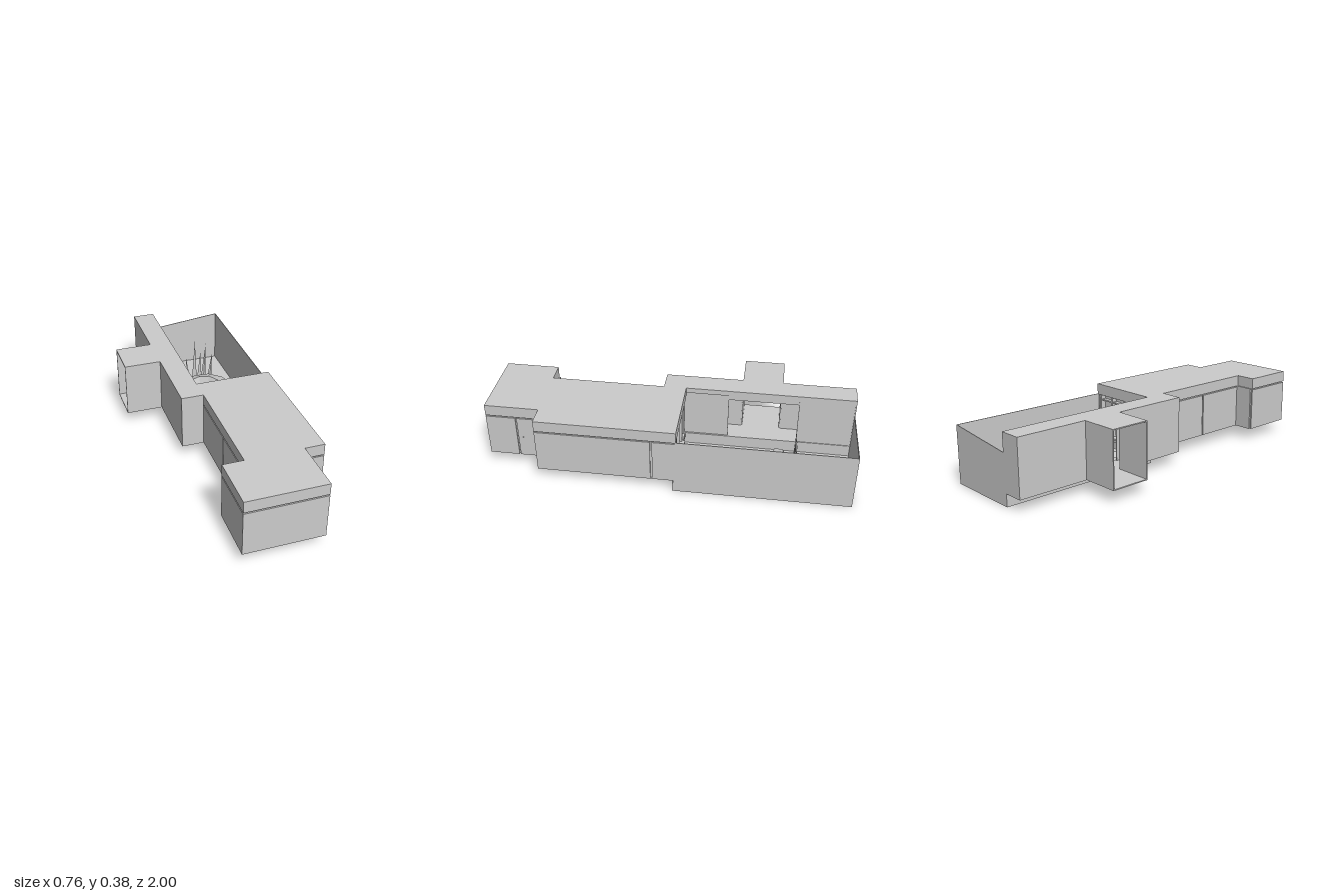
import * as THREE from 'three';

const mat = new THREE.MeshStandardMaterial({ color: 0xcccccc, flatShading: true, side: THREE.DoubleSide });

export function createModel() {
  const model = new THREE.Group();

  const add = (name, geo, parent = model) => {
    const m = new THREE.Mesh(geo, mat);
    m.name = name;
    parent.add(m);
    return m;
  };
  const group = (name) => {
    const g = new THREE.Group();
    g.name = name;
    model.add(g);
    return g;
  };
  // Box given by its limits along x, y and z
  const box = (name, x0, x1, y0, y1, z0, z1, parent) => {
    const g = new THREE.BoxGeometry(x1 - x0, y1 - y0, z1 - z0);
    g.translate((x0 + x1) / 2, (y0 + y1) / 2, (z0 + z1) / 2);
    return add(name, g, parent);
  };
  // Surface lofted through rings of points
  const loft = (name, rings, closed, parent) => {
    const n = rings[0].length, idx = [];
    for (let i = 0; i < rings.length - 1; i++)
      for (let j = 0; j < (closed ? n : n - 1); j++) {
        const a = i * n + j, b = i * n + (j + 1) % n;
        idx.push(a, b, a + n, b, b + n, a + n);
      }
    if (!closed) for (const o of [0, (rings.length - 1) * n]) idx.push(o, o + 1, o + 2, o, o + 2, o + 3);
    const g = new THREE.BufferGeometry();
    g.setAttribute('position', new THREE.Float32BufferAttribute(rings.flat(2), 3));
    g.setIndex(idx);
    const flat = g.toNonIndexed();
    flat.computeVertexNormals();
    return add(name, flat, parent);
  };

  const B = 0.07, T = 0.385, F = 0.322, P = 0.315; // underside, roof, fascia bottom, panel top

  // Roof fascias of the main and front blocks
  const main = group('mainHouse');
  box('mainRoof', -0.05, 0.38, F, T, -0.06, 0.7, main);
  box('frontRoof', -0.165, 0.27, F, T, 0.7, 1, main);

  // Recessed cores, leaving shadow gaps between the panels
  box('mainCore', -0.042, 0.372, B, F, -0.02, 0.692, main);
  box('frontCore', -0.157, 0.262, B, F, 0.69, 0.992, main);

  // Wall panels along both sides
  for (const [a, b] of [[-0.055, 0.067], [0.077, 0.7]]) box('leftWallPanel', 0.37, 0.38, B, P, a, b, main);
  for (const [a, b] of [[0.065, 0.385], [0.393, 0.7]]) box('rightWallPanel', -0.05, -0.04, B, P, a, b, main);
  for (const [a, b] of [[0.7, 0.828], [0.836, 1]]) box('frontBlockLeftPanel', 0.26, 0.27, B, P, a, b, main);
  box('frontBlockRightPanel', -0.165, -0.155, B, P, 0.7, 1, main);
  box('frontPanel', -0.165, 0.27, B, P, 0.99, 1, main);
  box('shoulderPanel', 0.275, 0.38, B, P, 0.69, 0.7, main);
  box('frontBlockBack', -0.165, -0.04, B, T, 0.7, 0.71, main);
  for (const z of [0.8, 0.72]) {
    const knob = add('doorKnob', new THREE.SphereGeometry(0.004, 6, 4), main);
    knob.position.set(0.272, 0.193, z);
  }

  // Glazed facade onto the courtyard
  const facade = group('courtyardFacade');
  for (const x of [-0.05, 0.03, 0.15, 0.26, 0.358]) box('facadePost', x, x + 0.012, B, F, -0.05, -0.02, facade);
  box('facadePanel', -0.04, 0.03, B, F, -0.04, -0.02, facade);
  box('facadeTransom', -0.05, 0.37, 0.285, 0.293, -0.045, -0.02, facade);
  box('facadeSill', 0.03, 0.32, B, B + 0.01, -0.066, -0.02, facade);

  // Side wing: a hollow corridor open to the courtyard and the bay
  const wing = group('sideWing');
  const t = 0.006;
  box('wingRoof', -0.175, -0.05, 0.355, T, -1, 0.065, wing);
  box('wingFloor', -0.175, -0.05, B, B + t, -1, 0.065, wing);
  for (const [a, b] of [[-1, -0.595], [-0.37, 0.065]]) box('wingOuterWall', -0.175, -0.175 + t, B, T, a, b, wing);
  box('wingBackWall', -0.175, -0.05, B, T, -1, -1 + t, wing);
  box('wingFrontWall', -0.175, -0.05, B, T, 0.065 - t, 0.065, wing);
  box('wingInnerPanel', -0.06, -0.054, B, 0.355, -1, -0.69, wing);
  box('wingInnerPanel', -0.066, -0.06, B, 0.355, -0.3, -0.05, wing);
  box('wingHeader', -0.064, -0.056, 0.325, 0.355, -0.69, -0.3, wing);

  // Bay: a projecting room with an open outer end
  const bay = group('bay');
  box('bayRoof', -0.385, -0.175, T - t, T, -0.595, -0.37, bay);
  box('bayFloor', -0.385, -0.175, B, B + t, -0.595, -0.37, bay);
  box('bayBackWall', -0.385, -0.175, B, T, -0.595, -0.595 + t, bay);
  box('bayFrontWall', -0.385, -0.175, B, T, -0.37 - t, -0.37, bay);

  // Courtyard enclosure
  const yard = group('courtyard');
  box('yardSideWall', 0.376, 0.38, 0, 0.325, -1, -0.055, yard);
  box('yardSideSkirt', 0.376, 0.38, 0, 0.055, -0.055, -0.04, yard);
  box('yardWingSkirt', -0.06, -0.056, 0, B, -1, -0.04, yard);
  box('yardFrontSkirt', -0.06, 0.38, 0, 0.055, -0.044, -0.04, yard);
  box('yardLedge', -0.06, 0.38, 0.053, B, -0.058, -0.046, yard);
  box('houseUnderside', -0.05, 0.38, B, B + t, -0.055, 0.1, yard);
  const backShape = new THREE.Shape([[-0.06, 0], [0.38, 0], [0.38, 0.325], [-0.05, 0.28], [-0.05, B], [-0.06, B]]
    .map((p) => new THREE.Vector2(...p)));
  const back = new THREE.ExtrudeGeometry(backShape, { depth: 0.004, bevelEnabled: false });
  back.translate(0, 0, -1);
  add('yardBackWall', back, yard);

  // Curved mound: outer x, z, inner x, z and height of each cross-section
  const Y = 0.003;
  const sections = [
    [-0.015, -0.61, 0.01, -0.57, 0.05], [0.02, -0.65, 0.06, -0.54, 0.09], [0.11, -0.66, 0.13, -0.52, 0.12],
    [0.21, -0.65, 0.17, -0.48, 0.13], [0.3, -0.6, 0.2, -0.42, 0.12], [0.355, -0.5, 0.21, -0.37, 0.1],
    [0.372, -0.39, 0.21, -0.32, 0.07], [0.34, -0.295, 0.24, -0.305, 0.04],
  ];
  const mix = THREE.MathUtils.lerp;
  loft('curvedMound', sections.map(([ox, oz, ix, iz, h]) => [
    [ox, Y, oz], [mix(ox, ix, 0.25), Y + h * 0.8, mix(oz, iz, 0.25)],
    [mix(ox, ix, 0.7), Y + h, mix(oz, iz, 0.7)], [ix, Y, iz],
  ]), false, yard);

  // Stepping stones: tapered blocks x, z, width, turn
  const holes = [[...sections.map((s) => [s[0], s[1]]), ...sections.map((s) => [s[2], s[3]]).reverse()]];
  for (const [x, z, w, a] of [[0.11, -0.42, 0.08, 0], [0.048, -0.3, 0.065, 0.25], [0.215, -0.24, 0.095, 0.12],
    [0.07, -0.195, 0.07, 0.3], [0.192, -0.112, 0.09, 0.03]]) {
    const ring = (s, y) => [0, 1, 2, 3].map((k) => {
      const q = a + Math.PI / 4 + k * Math.PI / 2, r = w * s * Math.SQRT1_2;
      return [x + r * Math.cos(q), y, z + r * Math.sin(q)];
    });
    loft('steppingStone', [ring(1, Y), ring(0.65, 0.03), ring(0.001, 0.03)], true, yard);
    holes.push(ring(1, 0).map((p) => [p[0], p[2]]));
  }

  // Courtyard floor, cut out under the mound and the stones
  const floor = new THREE.Shape([[-0.06, -1], [0.38, -1], [0.38, -0.04], [-0.06, -0.04]].map((p) => new THREE.Vector2(...p)));
  floor.holes = holes.map((h) => new THREE.Path(h.map((p) => new THREE.Vector2(...p))));
  const floorGeo = new THREE.ShapeGeometry(floor);
  floorGeo.rotateX(Math.PI / 2);
  floorGeo.translate(0, Y, 0);
  add('yardFloor', floorGeo, yard);

  // Tall leaf blades behind the mound
  [[0.09, 0.2, -0.12], [0.13, 0.31, 0.04], [0.16, 0.24, 0.1], [0.19, 0.28, 0.15], [0.23, 0.2, 0.2]].forEach(([x, h, lean], i) => {
    const g = new THREE.ConeGeometry(0.018, h, 4);
    g.scale(1, 1, 0.35);
    g.translate(0, h / 2, 0);
    const leaf = add('leafBlade', g, yard);
    leaf.position.set(x, Y, -0.69 + 0.006 * (i % 3));
    leaf.rotation.z = -lean * 0.5;
  });

  return model;
}
